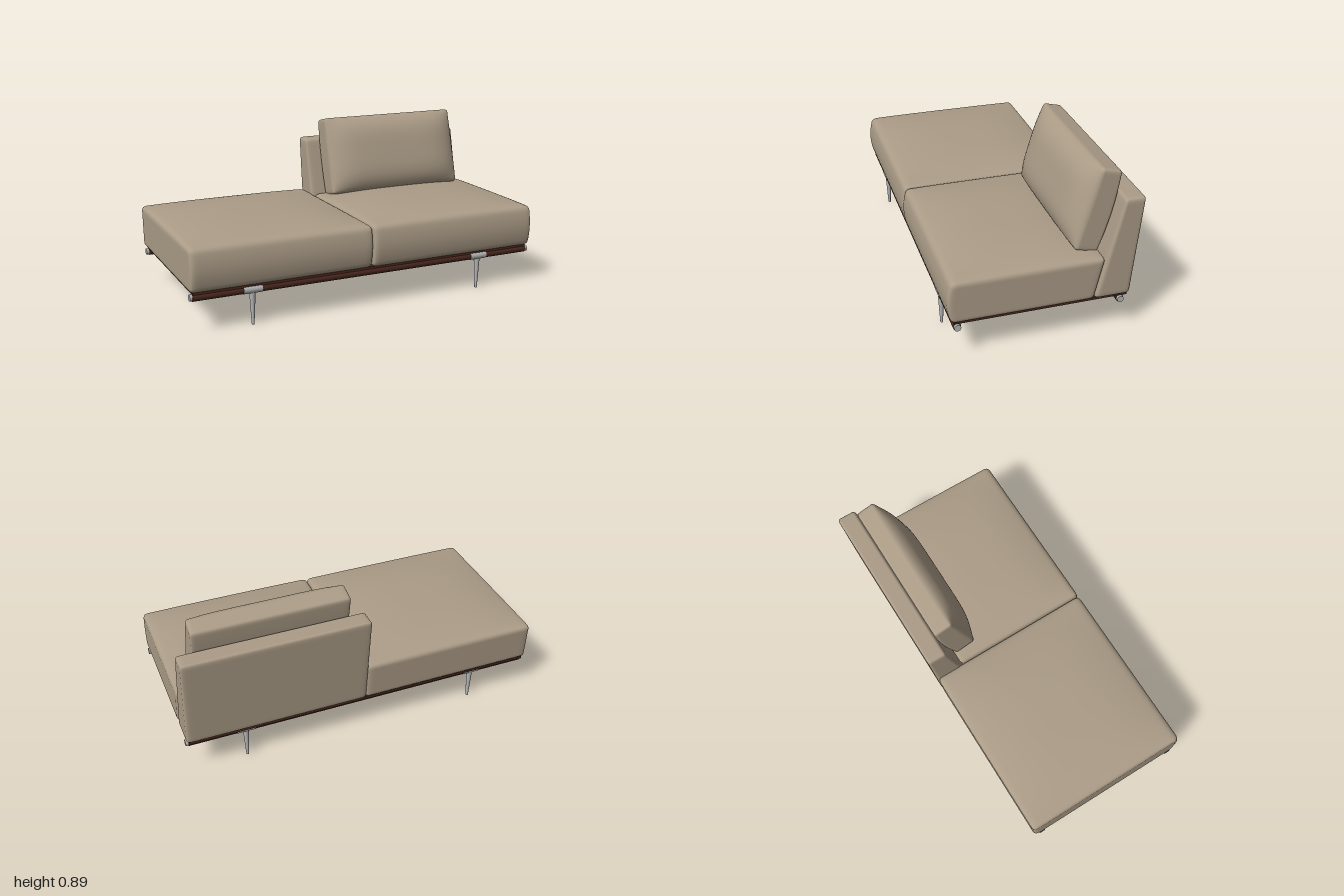
import * as THREE from 'three';
import { mergeVertices } from 'three/addons/utils/BufferGeometryUtils.js';

const { lerp } = THREE.MathUtils;

function material(name, color) {
  const m = new THREE.MeshStandardMaterial({ color });
  m.name = name;
  return m;
}

// Smooth rounded block; shape(p, u, v, w) then bends each vertex,
// with u, v, w running from -1 to 1 across width, height and depth.
function softBlock(width, height, depth, radius, shape) {
  let geo = new THREE.BoxGeometry(2, 2, 2, 28, 24, 28);
  geo.deleteAttribute('uv');
  geo.deleteAttribute('normal');
  geo = mergeVertices(geo, 1e-4);
  const half = new THREE.Vector3(width / 2, height / 2, depth / 2);
  const inner = half.clone().subScalar(radius);
  const pos = geo.attributes.position;
  const p = new THREE.Vector3(), core = new THREE.Vector3();
  const ease = (t) => Math.sin((t * Math.PI) / 2); // finer grid near the edges
  for (let i = 0; i < pos.count; i++) {
    p.fromBufferAttribute(pos, i);
    p.set(ease(p.x), ease(p.y), ease(p.z)).multiply(half);
    core.copy(p).clamp(inner.clone().negate(), inner);
    p.sub(core).normalize().multiplyScalar(radius).add(core);
    shape(p, p.x / half.x, p.y / half.y, p.z / half.z);
    pos.setXYZ(i, p.x, p.y, p.z);
  }
  geo.computeVertexNormals();
  return geo;
}

const crown = (t, n) => 1 - Math.pow(Math.min(1, Math.abs(t)), n);

export function createModel() {
  const model = new THREE.Group();
  model.name = 'daybedSofa';
  const fabric = material('beige upholstery', 0xab9c87);
  const wood = material('dark brown wood', 0x4a281e);
  const metal = material('satin metal', 0xb6b6b6);

  const add = (name, geo, mat, x = 0, y = 0, z = 0, parent = model) => {
    const mesh = new THREE.Mesh(geo, mat);
    mesh.name = name;
    mesh.position.set(x, y, z);
    parent.add(mesh);
    return mesh;
  };

  // Seat pads: crowned top, bulging front, back edge leaning from zLow to zHigh
  const seat = (name, x0, x1, zLow, zHigh) => {
    const geo = softBlock(x1 - x0, 0.23, 0.8, 0.025, (p, u, v, w) => {
      const t = (v + 1) / 2;
      const front = 0.474 + 0.02 * crown(v, 2);
      p.z = lerp(lerp(zLow, zHigh, t), front, (w + 1) / 2);
      p.y = lerp(0.215, 0.445, t) + 0.036 * t * crown(u, 3) * crown(w, 3);
    });
    add(name, geo, fabric, (x0 + x1) / 2);
  };
  seat('openSeat', -0.998, -0.002, -0.445, -0.462);
  seat('backedSeat', 0.002, 0.996, -0.255, -0.308);

  // Backrest: tapering, leaning slab
  add('backrest', softBlock(1.005, 0.54, 0.15, 0.02, (p, u, v, w) => {
    const t = (v + 1) / 2;
    p.z = lerp(lerp(-0.445, -0.496, t), lerp(-0.256, -0.39, t), (w + 1) / 2);
    p.y = lerp(0.215, 0.757, t);
  }), fabric, 0.4925);

  // Loose back cushion: leaning box with a puffed front
  add('backCushion', softBlock(0.84, 0.44, 0.13, 0.018, (p, u, v, w) => {
    const t = (v + 1) / 2, s = (w + 1) / 2;
    const puff = 0.062 * s * s * crown(u, 6) * crown(v, 4);
    const sag = 0.016 * (1 - s) * crown(v, 2);
    p.z = lerp(lerp(-0.292, -0.402, t), lerp(-0.172, -0.298, t), s) + 0.96 * puff - sag;
    p.y = lerp(lerp(0.43, 0.866, t), lerp(0.462, 0.892, t), s) + 0.28 * puff;
  }), fabric, 0.49);

  // Base board with cross straps beneath
  add('baseBoard', new THREE.BoxGeometry(1.96, 0.014, 0.895), wood, 0, 0.211, 0.0125);
  for (const x of [-0.667, 0.667]) {
    add('crossStrap', new THREE.BoxGeometry(0.1, 0.008, 0.84), metal, x, 0.201, 0.024);
  }

  // Round rails with end caps, clamps and tapered legs
  const bar = (radius, length) =>
    new THREE.CylinderGeometry(radius, radius, length, 28).rotateZ(Math.PI / 2);
  const railGeo = bar(0.0205, 1.964);
  const capGeo = bar(0.0175, 0.014);
  const clampGeo = bar(0.0225, 0.1);
  const legGeo = new THREE.CylinderGeometry(0.017, 0.007, 0.185, 24);
  for (const [side, z] of [['front', 0.446], ['back', -0.396]]) {
    const rail = new THREE.Group();
    rail.name = side + 'Rail';
    rail.position.set(0, 0.19, z);
    model.add(rail);
    add('railTube', railGeo, wood, 0, 0, 0, rail);
    for (const s of [-1, 1]) {
      add('railEndCap', capGeo, metal, s * 0.989, 0, 0, rail);
      add('legClamp', clampGeo, metal, s * 0.667, 0, 0, rail);
      add('leg', legGeo, metal, s * 0.667, -0.0975, 0, rail);
    }
  }
  return model;
}
